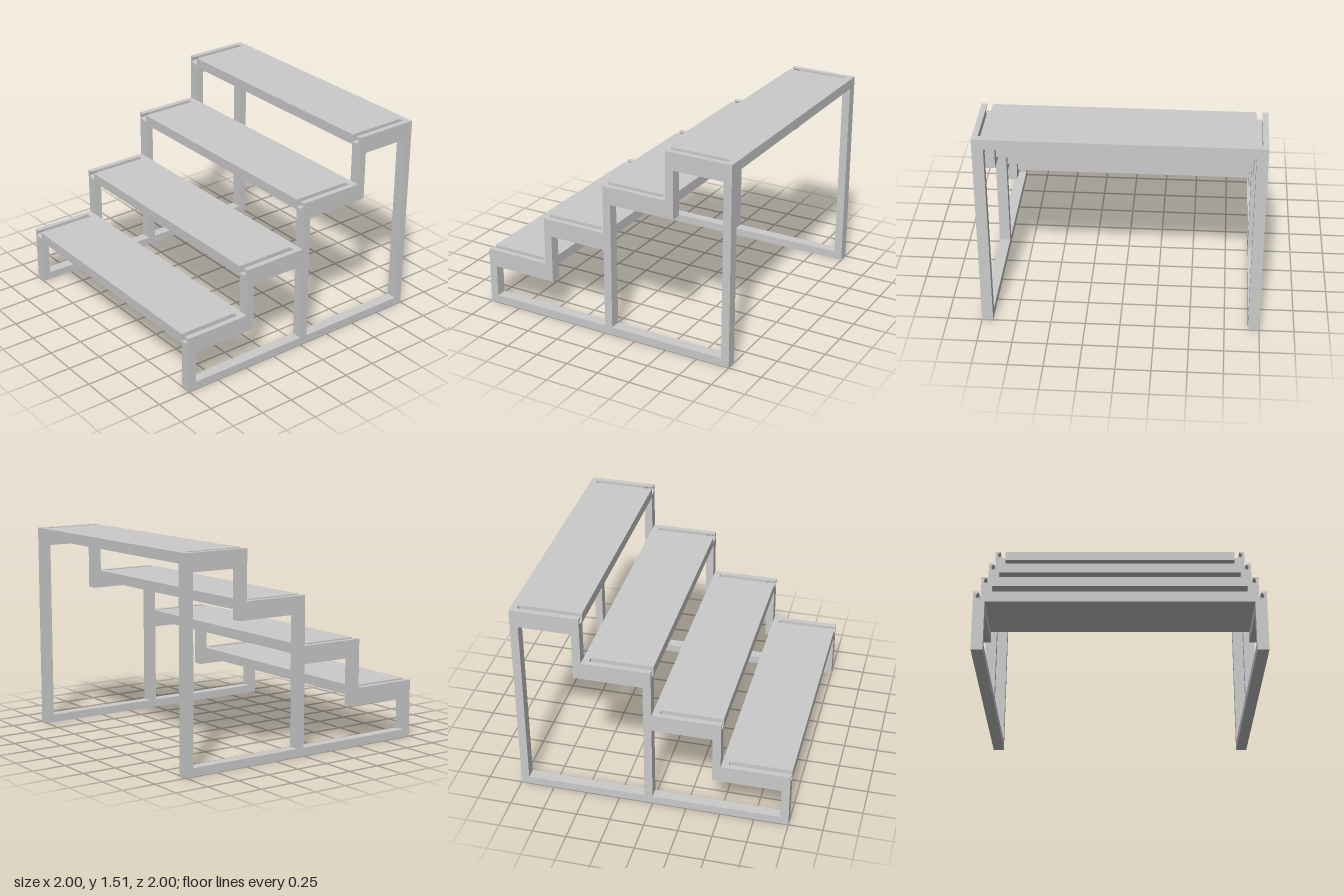
import * as THREE from 'three';

const STEPS = [0.43, 0.79, 1.15, 1.51]; // tread top heights, front to back
const GROOVE = 0.055; // groove depth
const END = 0.065; // length of the groove mouth block

const toPath = (Type, pts) => new Type(pts.map(([z, y]) => new THREE.Vector2(-z, y)));

// Stepped side profile in (z, y), with a notch cut behind each step's nose
function sideProfile(notch) {
  const pts = [[1, 0], [-1, 0]];
  for (let i = 3; i >= 0; i--) {
    const z = 1 - 0.5 * i, y = STEPS[i];
    pts.push([z - 0.5, y], [z - notch, y], [z - notch, y - GROOVE], [z, y - GROOVE]);
  }
  const shape = toPath(THREE.Shape, pts.reverse());
  shape.holes.push(
    toPath(THREE.Path, [[0.94, 0.06], [0, 0.06], [0, 0.66], [0.44, 0.66], [0.44, 0.3], [0.94, 0.3]]),
    toPath(THREE.Path, [[-0.06, 0.06], [-0.94, 0.06], [-0.94, 1.38], [-0.56, 1.38], [-0.56, 1.02], [-0.06, 1.02]])
  );
  return shape;
}

export function createModel() {
  const model = new THREE.Group();
  model.name = 'steppedBench';
  const mat = new THREE.MeshStandardMaterial({ color: 0xcccccc, flatShading: true });
  const add = (parent, name, geo) => {
    const mesh = new THREE.Mesh(geo, mat);
    mesh.name = name;
    parent.add(mesh);
    return mesh;
  };

  // Treads
  STEPS.forEach((y, i) => {
    add(model, 'tread' + (i + 1), new THREE.BoxGeometry(1.84, 0.075, 0.5))
      .position.set(0, y - 0.0375, 0.75 - 0.5 * i);
  });

  for (const s of [-1, 1]) {
    const side = new THREE.Group();
    side.name = s > 0 ? 'leftFrame' : 'rightFrame';
    model.add(side);

    // Frame in two layers: the inner one is grooved, the outer one is the wall
    for (const [name, notch, x] of [['grooveLayer', 0.45, 0.94], ['outerLayer', END, 0.98]]) {
      const geo = new THREE.ExtrudeGeometry(sideProfile(notch), { depth: 0.04, bevelEnabled: false });
      geo.rotateY(Math.PI / 2).translate(s * x - 0.02, 0, 0);
      add(side, name, geo);
    }

    // Groove mouths with a rounded undercut
    STEPS.forEach((y, i) => {
      const pts = [[0.96, 0], [1, 0], [1, -GROOVE], [0.96, -GROOVE]];
      for (let k = 0; k <= 8; k++) {
        const a = -Math.PI / 2 + (k * Math.PI) / 8;
        pts.push([0.96 + 0.022 * Math.cos(a), -0.032 + 0.022 * Math.sin(a)]);
      }
      const shape = new THREE.Shape(pts.map(([x, v]) => new THREE.Vector2(s * x, y + v)));
      const geo = new THREE.ExtrudeGeometry(shape, { depth: END, bevelEnabled: false });
      add(side, 'grooveMouth' + (i + 1), geo.translate(0, 0, 1 - 0.5 * i - END));
    });
  }
  return model;
}
